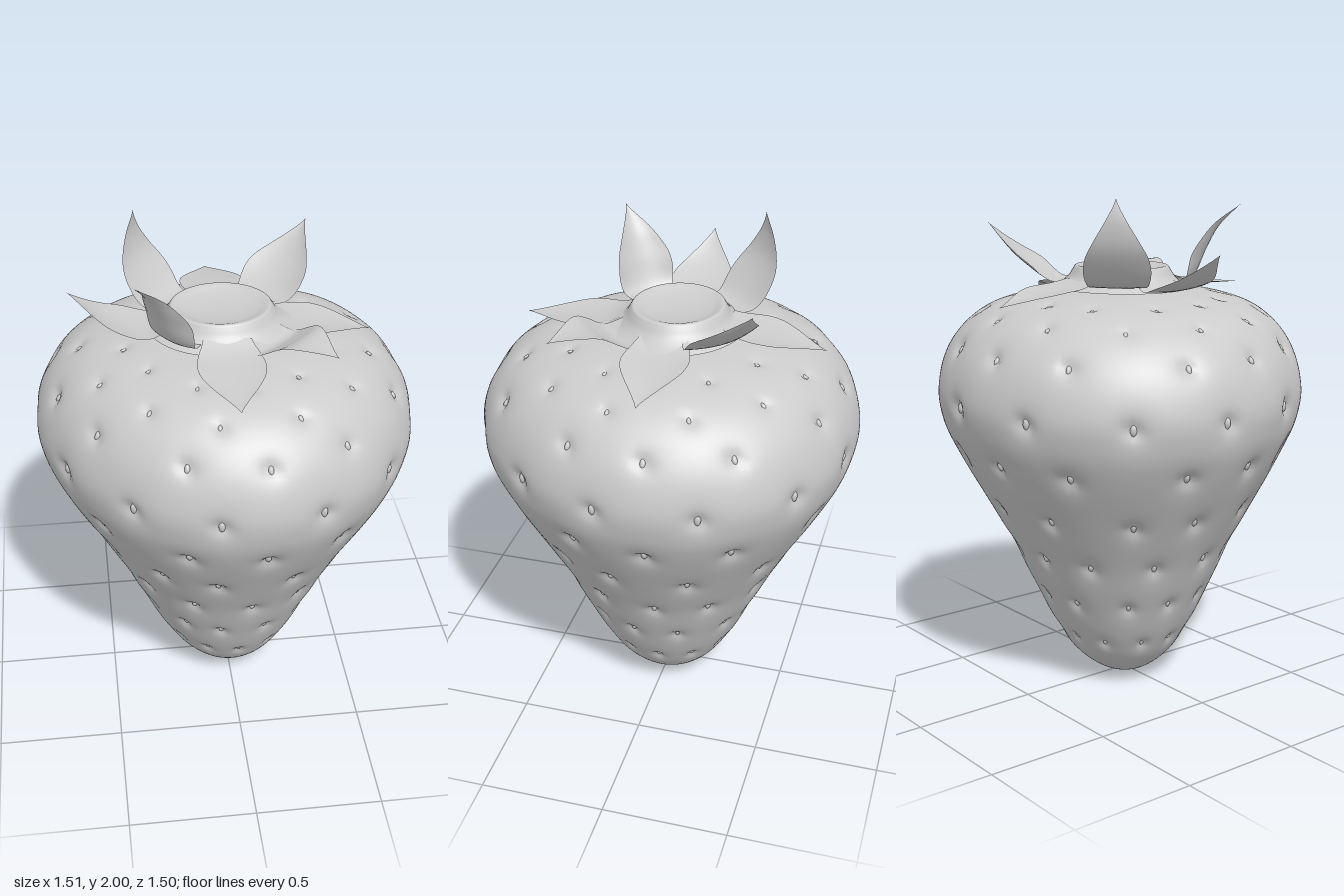
import * as THREE from 'three';
import { mergeVertices } from 'three/addons/utils/BufferGeometryUtils.js';

const material = new THREE.MeshStandardMaterial({ color: 0xcccccc });
const leafMaterial = new THREE.MeshStandardMaterial({ color: 0xcccccc, side: THREE.DoubleSide });
const V2 = (p) => new THREE.Vector2(p[0], p[1]);

// Fruit outline from the tip up to the crown: [radius, height]
const outline = new THREE.SplineCurve([
  [0, 0.005], [0.1, 0.027], [0.2, 0.1], [0.28, 0.21], [0.375, 0.4], [0.47, 0.6], [0.58, 0.8],
  [0.69, 1.0], [0.74, 1.13], [0.75, 1.25], [0.7, 1.4], [0.6, 1.515], [0.465, 1.58],
  [0.25, 1.62], [0, 1.63],
].map(V2)).getSpacedPoints(130);
outline.forEach((p) => { p.x = Math.max(p.x, 0); });

// The fruit is not quite round: fuller at the back right, flatter at the front right
const girth = (a) => 1 - 0.022 * (Math.cos(a) - Math.cos(3 * a)) + 0.017 * Math.sin(2 * a);

// Rows of seeds: height, size, angles in degrees within each quarter turn
const seedRows = [
  [0.2, 0.65, [5, 35, 66]],
  [0.38, 0.75, [-10, 20, 54]],
  [0.565, 0.85, [7, 35, 66]],
  [0.77, 0.9, [-10, 22, 55]],
  [0.975, 1, [7, 35, 71]],
  [1.2, 1.1, [-8, 23, 54]],
  [1.405, 0.9, [7, 35, 71]],
  [1.53, 0.7, [-9, 22, 52]],
  [1.59, 0.6, [7, 35, 68]],
];

// Seed positions with the surface normal at each
function seedSpots() {
  const spots = [];
  for (const [y, size, angles] of seedRows) {
    const i = outline.findIndex((p) => p.y >= y);
    const p = outline[i];
    const t = outline[i + 1].clone().sub(outline[i - 1]).normalize();
    for (let k = 0; k < 12; k++) {
      const a = THREE.MathUtils.degToRad(angles[k % 3] + 90 * Math.floor(k / 3));
      const s = Math.sin(a), c = Math.cos(a), r = p.x * girth(a);
      spots.push({
        size,
        position: new THREE.Vector3(r * s, p.y, r * c),
        normal: new THREE.Vector3(t.y * s, -t.x, t.y * c),
        tangent: new THREE.Vector3(t.x * s, t.y, t.x * c),
      });
    }
  }
  return spots;
}

// Lathed fruit with a soft hollow and a sharper pit around every seed
function makeFruit(spots) {
  let geo = new THREE.LatheGeometry(outline, 180);
  const pos = geo.attributes.position, nor = geo.attributes.normal;
  const v = new THREE.Vector3(), n = new THREE.Vector3();
  for (let i = 0; i < pos.count; i++) {
    v.fromBufferAttribute(pos, i);
    n.fromBufferAttribute(nor, i);
    const g = girth(Math.atan2(v.x, v.z));
    v.set(v.x * g, v.y, v.z * g);
    let depth = 0;
    for (const { position, size } of spots) {
      const d2 = v.distanceToSquared(position) / (size * size);
      if (d2 < 0.04) depth += size * (0.01 * Math.exp(-d2 / 0.005) + 0.02 * Math.exp(-d2 / 0.0009));
    }
    v.addScaledVector(n, -depth);
    pos.setXYZ(i, v.x, v.y, v.z);
  }
  geo.deleteAttribute('normal');
  geo.deleteAttribute('uv');
  geo = mergeVertices(geo, 1e-4);
  geo.computeVertexNormals();
  const mesh = new THREE.Mesh(geo, material);
  mesh.name = 'fruit';
  return mesh;
}

// Small oval seeds sitting in the pits
function makeSeeds(spots) {
  const group = new THREE.Group();
  group.name = 'seeds';
  const geo = new THREE.SphereGeometry(1, 10, 8);
  for (const { position, normal, tangent, size } of spots) {
    const seed = new THREE.Mesh(geo, material);
    seed.name = 'seed';
    seed.position.copy(position).addScaledVector(normal, -0.026 * size);
    const side = new THREE.Vector3().crossVectors(tangent, normal);
    seed.quaternion.setFromRotationMatrix(new THREE.Matrix4().makeBasis(side, tangent, normal));
    seed.scale.set(0.012, 0.021, 0.012).multiplyScalar(size);
    group.add(seed);
  }
  return group;
}

// One leaf: a plane bent along a path of [radius, height], shaped to a point and cupped
function makeLeaf({ angle, path, width = 0.128, cup = 0.012 }) {
  const curve = new THREE.SplineCurve(path.map(V2));
  const shape = new THREE.SplineCurve([
    [0, 0.72], [0.2, 0.9], [0.36, 1], [0.55, 0.92], [0.75, 0.64], [0.9, 0.29], [1, 0],
  ].map(V2));
  const geo = new THREE.PlaneGeometry(2, 1, 10, 24);
  const pos = geo.attributes.position;
  for (let i = 0; i < pos.count; i++) {
    const u = pos.getY(i) + 0.5, v = pos.getX(i);
    const p = curve.getPointAt(u), t = curve.getTangentAt(u);
    const w = Math.max(0, shape.getPoint(u).y);
    const lift = cup * v * v * w * Math.min(1, u * 2.5);
    pos.setXYZ(i, -v * w * width, p.y + t.x * lift, p.x - t.y * lift);
  }
  geo.rotateY(THREE.MathUtils.degToRad(angle));
  geo.computeVertexNormals();
  const mesh = new THREE.Mesh(geo, leafMaterial);
  mesh.name = 'leaf';
  return mesh;
}

// Leaves, angle measured from the front towards the model's left
const leaves = [
  { angle: 0, path: [[0.2, 1.67], [0.28, 1.637], [0.45, 1.617], [0.623, 1.607]] },
  { angle: 44, path: [[0.2, 1.665], [0.27, 1.636], [0.33, 1.66], [0.41, 1.695], [0.56, 1.675]], width: 0.135 },
  { angle: 90, path: [[0.2, 1.67], [0.28, 1.635], [0.45, 1.606], [0.59, 1.57]] },
  { angle: 134, path: [[0.2, 1.665], [0.28, 1.655], [0.42, 1.75], [0.54, 1.88]], width: 0.14, cup: 0.03 },
  { angle: 180, path: [[0.2, 1.67], [0.28, 1.645], [0.45, 1.617], [0.585, 1.59]] },
  { angle: 229, path: [[0.2, 1.655], [0.29, 1.665], [0.39, 1.79], [0.42, 1.9], [0.41, 2.0]] },
  { angle: 270, path: [[0.2, 1.67], [0.3, 1.637], [0.45, 1.688], [0.585, 1.8]] },
  { angle: 312, path: [[0.2, 1.655], [0.28, 1.665], [0.34, 1.79], [0.39, 1.88], [0.47, 1.96]], width: 0.118, cup: 0.035 },
];

// Soft collar with a shallow dish where the stem was, surrounded by leaves
function makeCrown() {
  const group = new THREE.Group();
  group.name = 'crown';
  const profile = new THREE.SplineCurve([
    [0.285, 1.632], [0.25, 1.651], [0.222, 1.675], [0.204, 1.702], [0.193, 1.716],
    [0.178, 1.715], [0.14, 1.702], [0.07, 1.692], [0, 1.69],
  ].map(V2)).getPoints(40);
  profile.forEach((p) => { p.x = Math.max(p.x, 0); });
  const collar = new THREE.Mesh(new THREE.LatheGeometry(profile, 64), leafMaterial);
  collar.name = 'collar';
  collar.scale.z = 0.92;
  group.add(collar, ...leaves.map(makeLeaf));
  group.position.set(-0.015, 0, -0.028);
  return group;
}

export function createModel() {
  const model = new THREE.Group();
  model.name = 'strawberry';
  const spots = seedSpots();
  model.add(makeFruit(spots), makeSeeds(spots), makeCrown());
  return model;
}
